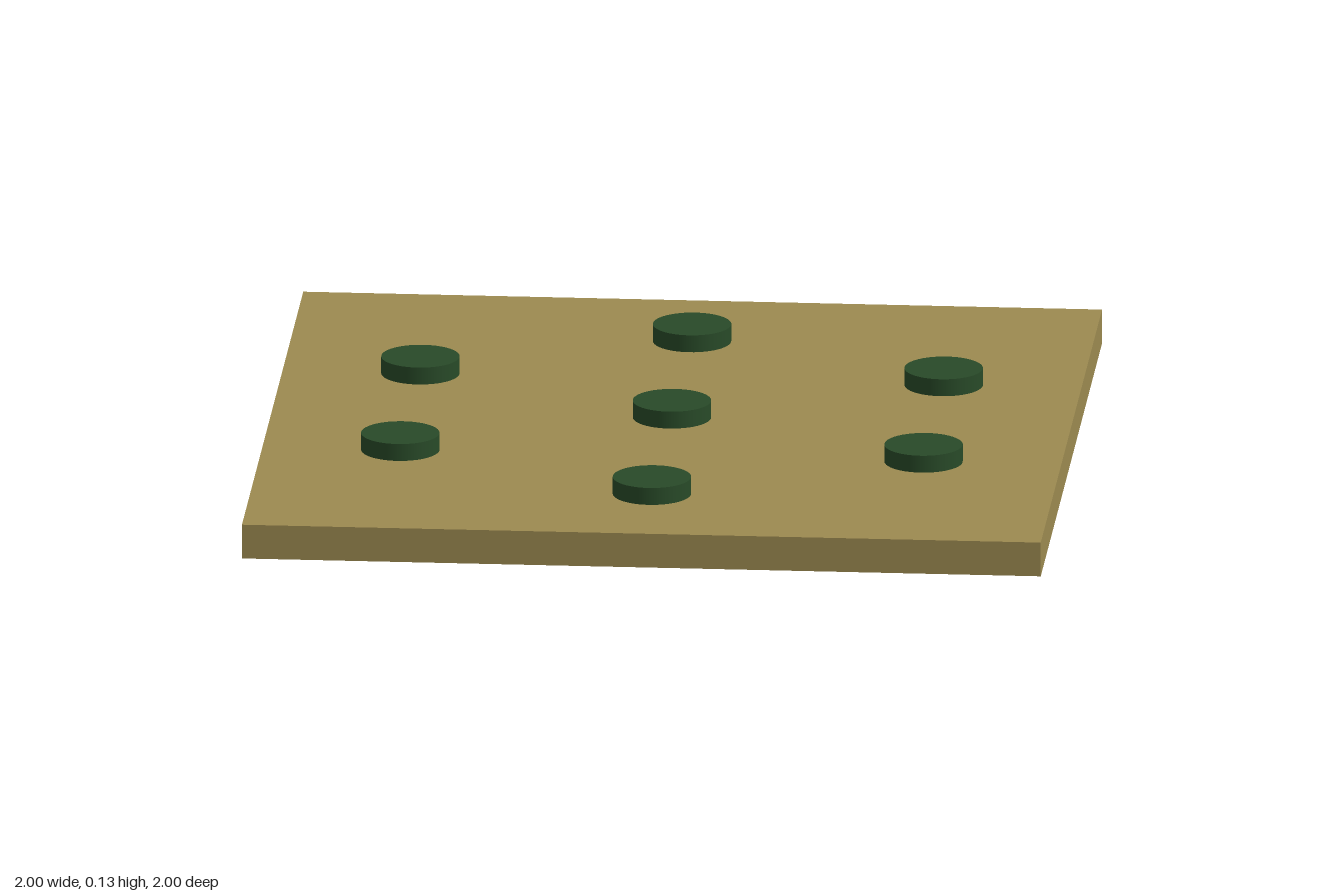
import * as THREE from 'three';

const BOARD_HEIGHT = 0.088;
const STUD_HEIGHT = 0.044;
const STUD_RADIUS = 0.098;

export function createModel() {
  const model = new THREE.Group();
  model.name = 'studdedBoard';

  // Flat square board
  const board = new THREE.Mesh(
    new THREE.BoxGeometry(2, BOARD_HEIGHT, 2),
    new THREE.MeshStandardMaterial({ color: 0x9c8a50 })
  );
  board.name = 'board';
  board.position.y = BOARD_HEIGHT / 2;
  model.add(board);

  // Round studs: one in the middle, six in a ring around it
  const studs = new THREE.Group();
  studs.name = 'studs';
  const studGeometry = new THREE.CylinderGeometry(STUD_RADIUS, STUD_RADIUS, STUD_HEIGHT, 48);
  const studMaterial = new THREE.MeshStandardMaterial({ color: 0x284a28 });
  const addStud = (name, x, z) => {
    const stud = new THREE.Mesh(studGeometry, studMaterial);
    stud.name = name;
    stud.position.set(x, BOARD_HEIGHT + STUD_HEIGHT / 2, z);
    studs.add(stud);
  };
  addStud('centreStud', 0, 0);
  for (const end of [1, -1]) {
    const row = end > 0 ? 'front' : 'back';
    addStud(`${row}Stud`, 0, end * 0.655);
    for (const side of [1, -1]) {
      addStud(`${row}${side > 0 ? 'Left' : 'Right'}Stud`, side * 0.655, end * 0.328);
    }
  }
  model.add(studs);

  return model;
}
